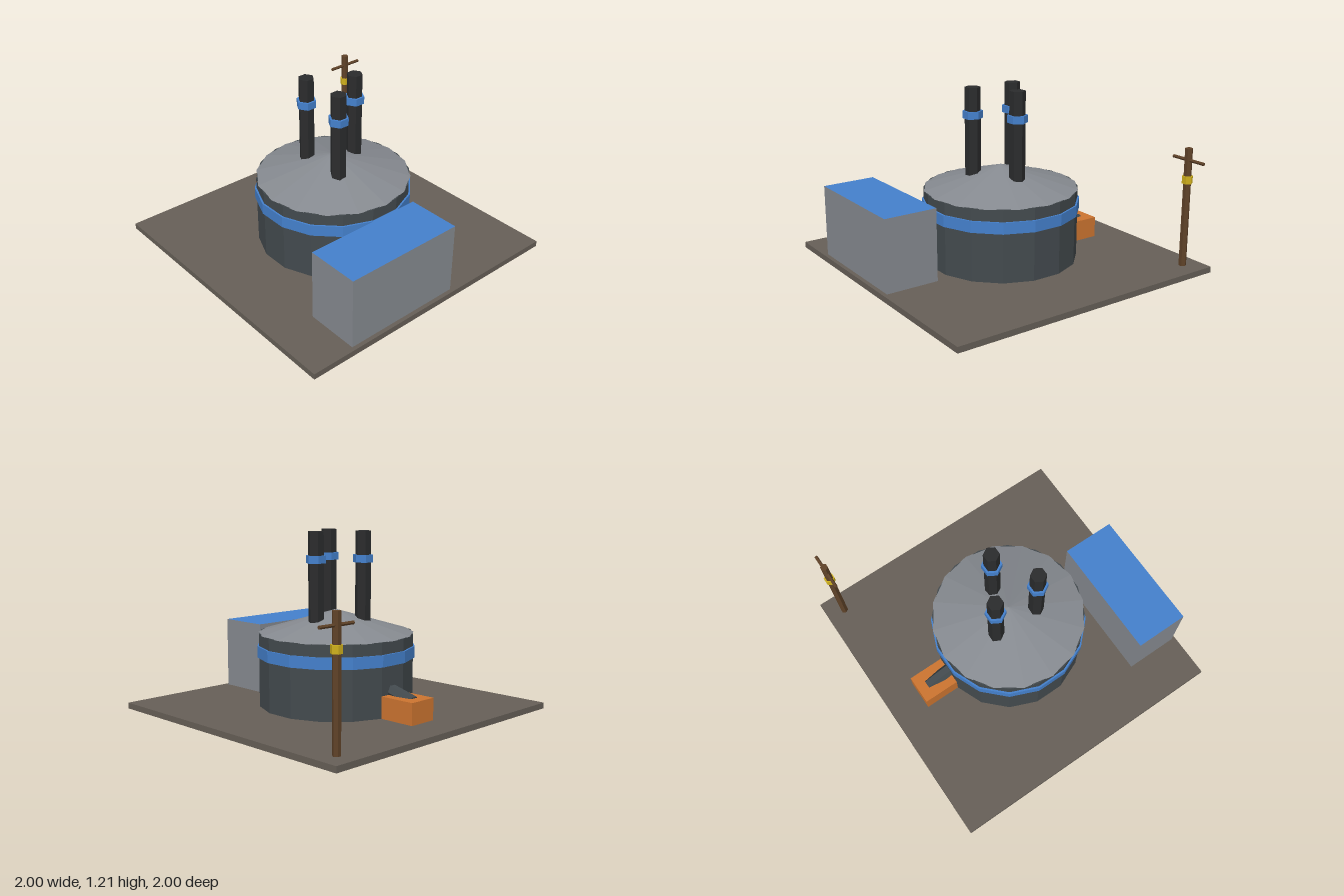
import * as THREE from 'three';

const mat = (name, color) => {
  const m = new THREE.MeshStandardMaterial({ color, flatShading: true });
  m.name = name;
  return m;
};

export function createModel() {
  const model = new THREE.Group();
  model.name = 'boilerPlant';

  const ground = mat('groundBrown', 0x665f57);
  const steel = mat('darkSteel', 0x434a4e);
  const grey = mat('lightGrey', 0x868a90);
  const blue = mat('blue', 0x4480cc);
  const soot = mat('sootBlack', 0x2b2c2d);
  const orange = mat('orange', 0xcc7430);
  const wood = mat('wood', 0x5f4228);
  const yellow = mat('yellow', 0xcfb01c);

  const add = (name, geometry, material, x = 0, y = 0, z = 0, parent = model) => {
    const mesh = new THREE.Mesh(geometry, material);
    mesh.name = name;
    mesh.position.set(x, y, z);
    parent.add(mesh);
    return mesh;
  };
  // Upright prism spanning y0 to y1, turned by half a side
  const prism = (name, r, y0, y1, sides, material, x = 0, z = 0, parent = model) =>
    add(name, new THREE.CylinderGeometry(r, r, y1 - y0, sides).rotateY(Math.PI / sides),
      material, x, (y0 + y1) / 2, z, parent);
  const box = (name, [x0, x1], [y0, y1], [z0, z1], material) =>
    add(name, new THREE.BoxGeometry(x1 - x0, y1 - y0, z1 - z0), material,
      (x0 + x1) / 2, (y0 + y1) / 2, (z0 + z1) / 2);

  box('basePlate', [-1, 1], [0, 0.04], [-1, 1], ground);

  // Main tank with blue band and conical roof
  prism('tank', 0.52, 0, 0.53, 16, steel);
  prism('tankBand', 0.532, 0.373, 0.45, 16, blue);
  add('tankRoof', new THREE.ConeGeometry(0.522, 0.156, 16), grey, 0, 0.607, 0);

  // Three chimneys around the roof
  for (let i = 0; i < 3; i++) {
    const a = (i * Math.PI * 2) / 3;
    const x = 0.185 * Math.cos(a), z = 0.185 * Math.sin(a);
    const chimney = new THREE.Group();
    chimney.name = 'chimney';
    chimney.position.set(x, 0, z);
    model.add(chimney);
    prism('chimneyPipe', 0.053, 0.54, 1.21, 6, soot, 0, 0, chimney);
    prism('chimneyBand', 0.068, 1.003, 1.053, 6, blue, 0, 0, chimney);
  }

  // Side building, blue on its top face only
  box('building', [-0.685, 0.157], [0.03, 0.53], [0.605, 0.972],
    [grey, grey, blue, grey, grey, grey]);

  // Rear hopper and the sloping chute that feeds it
  box('hopper', [-0.103, 0.103], [0.03, 0.185], [-0.762, -0.45], orange);
  const chute = add('chute',
    new THREE.CylinderGeometry(0.045, 0.045, 0.4, 6).rotateY(Math.PI / 6).rotateX(Math.PI / 2),
    steel, 0, 0.207, -0.489);
  chute.rotation.x = -0.26;

  // Utility pole
  prism('pole', 0.026, 0.03, 0.845, 6, wood, 0.867, -0.87);
  prism('poleCollar', 0.036, 0.61, 0.66, 6, yellow, 0.867, -0.87);
  add('poleCrossbar', new THREE.CylinderGeometry(0.011, 0.011, 0.264, 6).rotateZ(Math.PI / 2),
    wood, 0.868, 0.766, -0.87);

  return model;
}
